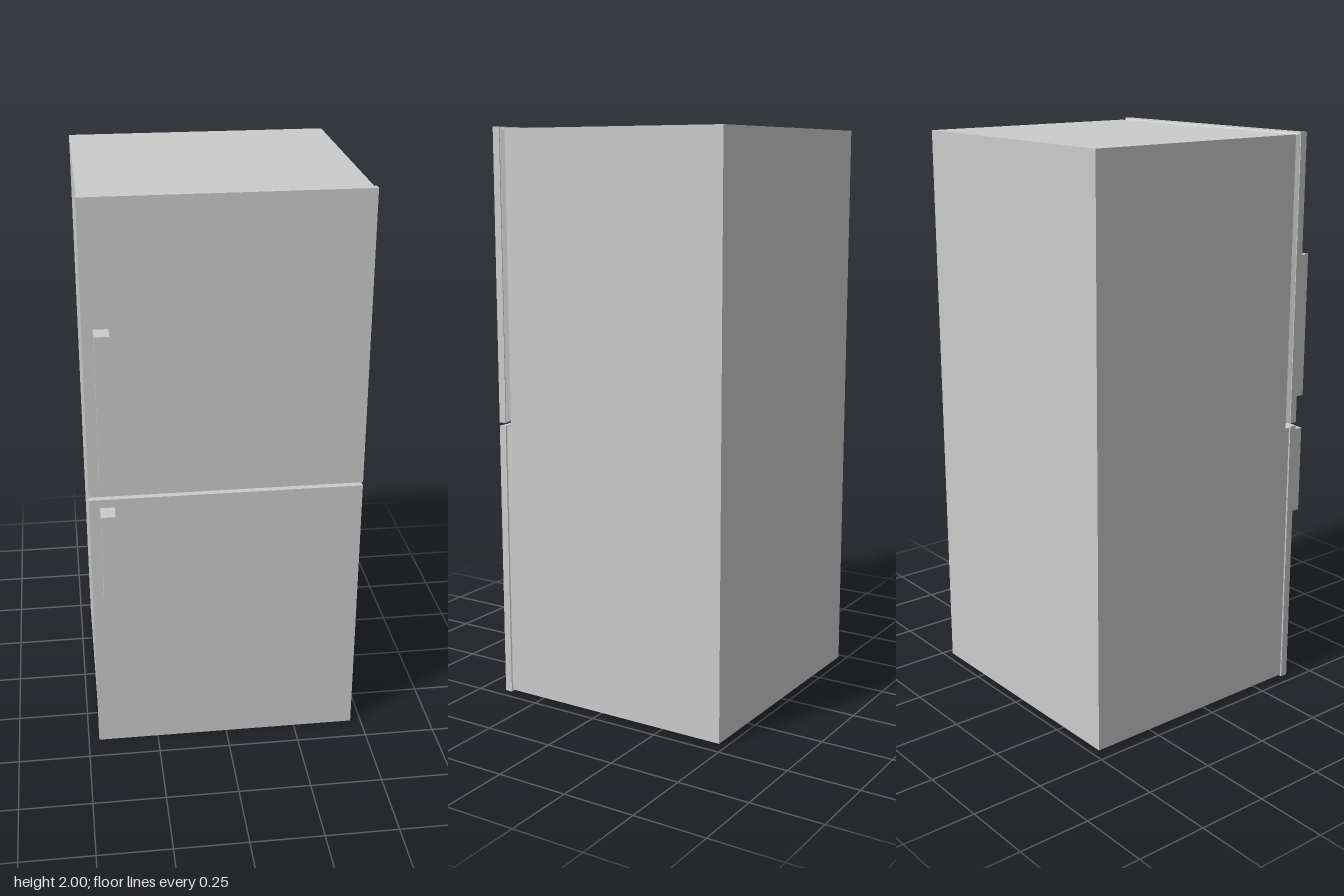
import * as THREE from 'three';

const material = new THREE.MeshStandardMaterial({ color: 0xcccccc, flatShading: true });

function addMesh(parent, name, geometry) {
  const mesh = new THREE.Mesh(geometry, material);
  mesh.name = name;
  parent.add(mesh);
  return mesh;
}

// Extrude a side outline of [z, y] points across x0..x1
function sideExtrude(points, x0, x1) {
  const shape = new THREE.Shape(points.map(([z, y]) => new THREE.Vector2(z, y)));
  const geometry = new THREE.ExtrudeGeometry(shape, { depth: x1 - x0, bevelEnabled: false });
  return geometry.rotateY(-Math.PI / 2).translate(x1, 0, 0);
}

function box(x0, x1, y0, y1, z0, z1) {
  return new THREE.BoxGeometry(x1 - x0, y1 - y0, z1 - z0)
    .translate((x0 + x1) / 2, (y0 + y1) / 2, (z0 + z1) / 2);
}

// Door seal: a slab whose back face is inset on all sides
function sealGeometry(y0, y1, zBack, zFront, inset) {
  const geometry = box(-0.46, 0.46, y0, y1, zBack, zFront);
  const p = geometry.attributes.position;
  const midY = (y0 + y1) / 2;
  const midZ = (zBack + zFront) / 2;
  for (let i = 0; i < p.count; i++) {
    if (p.getZ(i) > midZ) continue;
    p.setX(i, p.getX(i) - Math.sign(p.getX(i)) * inset);
    p.setY(i, p.getY(i) - Math.sign(p.getY(i) - midY) * inset);
  }
  geometry.computeVertexNormals();
  return geometry;
}

// Bracket handle with a flat grip and two square posts
function handleGeometry(y0, y1, post) {
  const back = 0.41, inner = 0.449, front = 0.479;
  return sideExtrude([
    [back, y0], [front, y0], [front, y1], [back, y1],
    [back, y1 - post], [inner, y1 - post], [inner, y0 + post], [back, y0 + post],
  ], -0.427, -0.378);
}

export function createModel() {
  const model = new THREE.Group();
  model.name = 'refrigerator';

  // Cabinet, stepped forward behind the lower door
  addMesh(model, 'cabinet', sideExtrude([
    [-0.479, 0.008], [0.38, 0.008], [0.38, 0.974],
    [0.363, 0.974], [0.363, 1.994], [-0.479, 1.994],
  ], -0.46, 0.46));

  // Doors with seals and handles
  const doors = [
    { name: 'upperDoor', y0: 0.99, y1: 2, sealBack: 0.363, inset: 0.013, handle: [1.07, 1.579, 0.036] },
    { name: 'lowerDoor', y0: 0, y1: 0.978, sealBack: 0.38, inset: 0.004, handle: [0.634, 0.948, 0.027] },
  ];
  for (const { name, y0, y1, sealBack, inset, handle } of doors) {
    const door = new THREE.Group();
    door.name = name;
    addMesh(door, name + 'Panel', box(-0.463, 0.463, y0, y1, 0.384, 0.411));
    addMesh(door, name + 'Seal', sealGeometry(y0 + 0.002, y1 - 0.002, sealBack, 0.384, inset));
    addMesh(door, name + 'Handle', handleGeometry(...handle));
    model.add(door);
  }
  return model;
}
